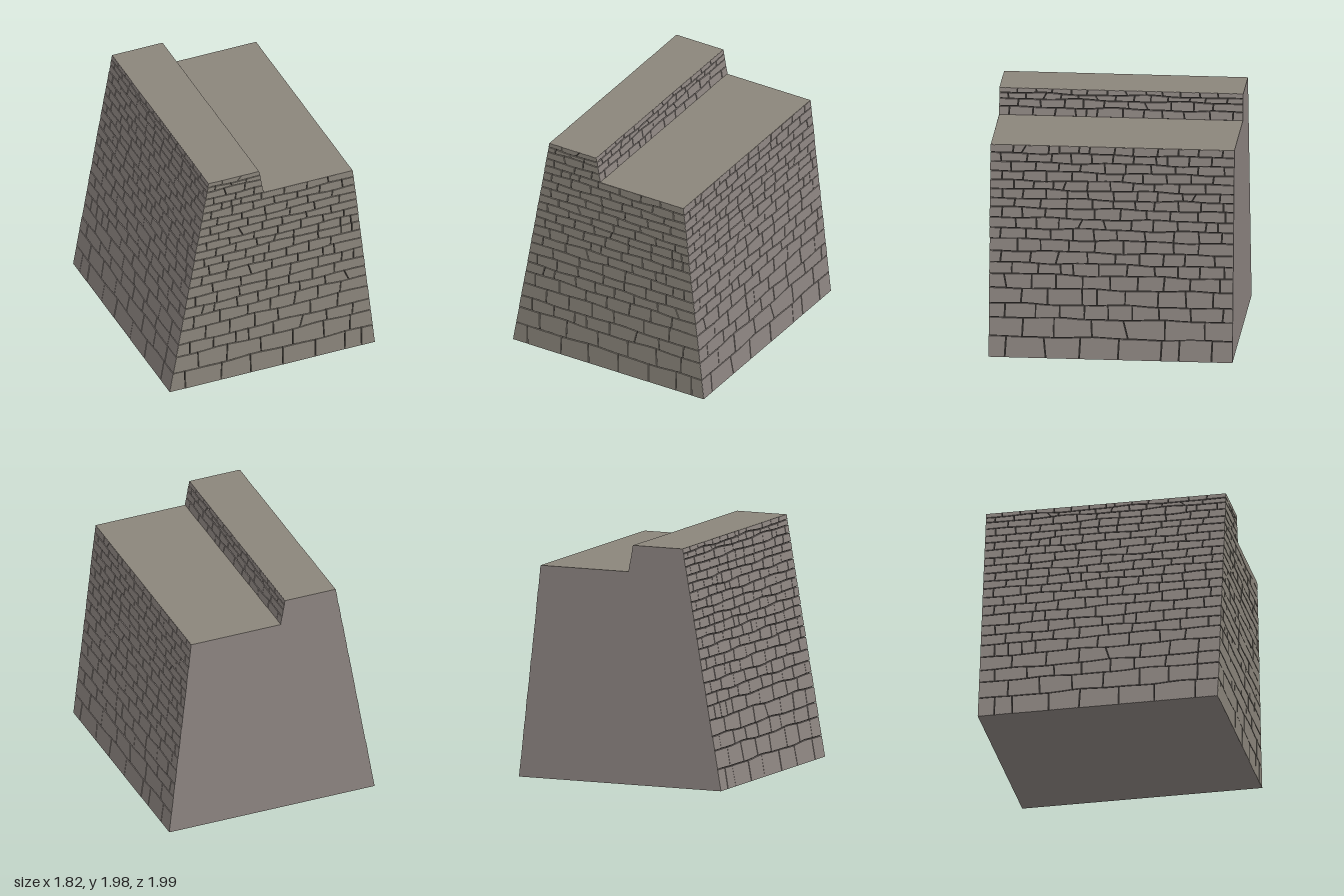
import * as THREE from 'three';
import { mergeGeometries } from 'three/addons/utils/BufferGeometryUtils.js';

const TOP = 1.975, STEP = 1.755, BACK = -1, FRONT = 0.992, DEPTH = 0.016, GAP = 0.0038;

// Heights of the course lines, tall at the foot and low at the parapet
const COURSES = [0, 0.175, 0.33, 0.445, 0.575, 0.69, 0.785, 0.88, 0.98, 1.07, 1.155, 1.24,
  1.315, 1.39, 1.465, 1.54, 1.615, 1.69, STEP, 1.825, 1.89, 1.935, TOP];

// Sloping outlines of the cross-section
const leftX = y => -0.91 + 0.345 * y / TOP;
const rightX = y => 0.905 - 0.195 * y / STEP;
const parapetX = y => -0.08 - 0.04 * (y - STEP) / (TOP - STEP);

function makeRandom(seed) {
  return () => {
    seed = (seed * 1664525 + 1013904223) % 4294967296;
    return seed / 4294967296;
  };
}

// Cross-section of the wall, inset on the bricked sides and on the flat top and foot
function section(inset, flat) {
  return new THREE.Shape([
    [leftX(0) + inset, flat], [rightX(0) - inset, flat], [rightX(STEP) - inset, STEP - flat],
    [parapetX(STEP) - inset, STEP - flat], [parapetX(TOP) - inset, TOP - flat], [leftX(TOP) + inset, TOP - flat]
  ].map(p => new THREE.Vector2(...p)));
}

function slab(shape, z0, z1) {
  return new THREE.ExtrudeGeometry(shape, { depth: z1 - z0, bevelEnabled: false }).translate(0, 0, z0);
}

// Lays courses of uneven stones; place(u, y, d) turns face coordinates into a point,
// lo(y) and hi(y) bound the face along u.
function brickFace(seed, firstRow, lastRow, lo, hi, place) {
  const rnd = makeRandom(seed);
  const stones = [];

  // Gentle wave of each course line, fading out at the corners
  const lineY = (row, u) => {
    const y = COURSES[row];
    if (y === 0 || y === STEP || y === TOP) return y;
    const t = (u - lo(y)) / (hi(y) - lo(y));
    const fade = Math.min(1, Math.max(0, 6 * Math.min(t, 1 - t)));
    return y + fade * (0.006 * Math.sin(u * 7 + row * 2.4) + 0.003 * Math.sin(u * 15 + row * 4.1));
  };

  for (let row = firstRow; row < lastRow; row++) {
    const y0 = COURSES[row], y1 = COURSES[row + 1];
    const start = lo(y0), end = hi(y0);
    const length = 0.1 + 1.1 * (y1 - y0);

    // Upright joints, a few of them leaning
    const joints = [{ u: -9, lean: 0 }];
    let u = start + length * (row % 2 ? 0.95 : 0.5) * (0.85 + 0.3 * rnd());
    while (u < end - 0.065) {
      const lean = (rnd() - 0.5) * (rnd() < 0.08 ? 0.04 : 0.01);
      joints.push({ u, lean });
      u += length * (rnd() < 0.06 ? 0.5 : 0.85 + 0.35 * rnd());
    }
    joints.push({ u: 9, lean: 0 });

    for (let i = 0; i + 1 < joints.length; i++) {
      const a = joints[i], b = joints[i + 1];
      const proud = rnd() * 0.003;
      const stone = new THREE.BoxGeometry(1, 1, 1, 3, 1, 1);
      const pos = stone.attributes.position;
      for (let k = 0; k < pos.count; k++) {
        const s = pos.getX(k) + 0.5, up = pos.getY(k) > 0, out = pos.getZ(k) > 0;
        const y = up ? y1 : y0, side = up ? 1 : -1;
        const ua = Math.max(lo(y), a.u + a.lean * side + GAP);
        const ub = Math.min(hi(y), b.u + b.lean * side - GAP);
        const uu = ua + (ub - ua) * s;
        const margin = y === 0 || y === TOP ? 0.001 : GAP;
        const yy = lineY(row + (up ? 1 : 0), uu) - side * margin;
        pos.setXYZ(k, ...place(uu, yy, out ? proud : -DEPTH));
      }
      stones.push(stone);
    }
  }
  const merged = mergeGeometries(stones).toNonIndexed();
  merged.computeVertexNormals();
  return merged;
}

export function createModel() {
  const material = (name, color) => {
    const m = new THREE.MeshStandardMaterial({ color });
    m.name = name;
    return m;
  };
  const stone = material('warmStone', 0x8b857b);
  const greyStone = material('greyStone', 0x8c8480);
  const mortar = material('darkMortar', 0x2f2c2a);

  const model = new THREE.Group();
  model.name = 'rampartWall';
  const add = (name, geometry, mat) => {
    const mesh = new THREE.Mesh(geometry, mat);
    mesh.name = name;
    model.add(mesh);
  };

  // Dark core seen through the joints
  const core = slab(section(DEPTH - 0.004, 0.003), BACK + 0.004, FRONT - DEPTH + 0.004);
  add('mortarCore', core, mortar);

  // Smooth back, walkway, parapet top and underside
  add('backFace', slab(section(0, 0.0005), BACK, BACK + 0.006), greyStone);
  const plate = (name, x0, x1, y, mat) => {
    const geometry = new THREE.BoxGeometry(x1 - x0, 0.004, FRONT - BACK);
    add(name, geometry.translate((x0 + x1) / 2, y, (FRONT + BACK) / 2), mat);
  };
  plate('parapetTop', leftX(TOP), parapetX(TOP), TOP - 0.002, stone);
  plate('walkway', parapetX(STEP) - 0.01, rightX(STEP), STEP - 0.002, stone);
  plate('underside', leftX(0), rightX(0), 0.002, greyStone);

  // Stone courses on the bricked faces
  const stepRow = COURSES.indexOf(STEP), topRow = COURSES.length - 1;
  const frontPoint = (u, y, d) => [u, y, FRONT + d];
  add('frontStones', brickFace(11, 0, stepRow, leftX, rightX, frontPoint), stone);
  add('frontParapetStones', brickFace(23, stepRow, topRow, leftX, parapetX, frontPoint), stone);

  const back = () => BACK, front = () => FRONT;
  add('rightSideStones', brickFace(37, 0, topRow, back, front,
    (u, y, d) => [leftX(y) - d, y, u]), greyStone);
  const minusFront = () => -FRONT, minusBack = () => -BACK;
  add('leftSideStones', brickFace(41, 0, stepRow, minusFront, minusBack,
    (u, y, d) => [rightX(y) + d, y, -u]), greyStone);
  add('parapetInnerStones', brickFace(59, stepRow, topRow, minusFront, minusBack,
    (u, y, d) => [parapetX(y) + d, y, -u]), greyStone);

  return model;
}
